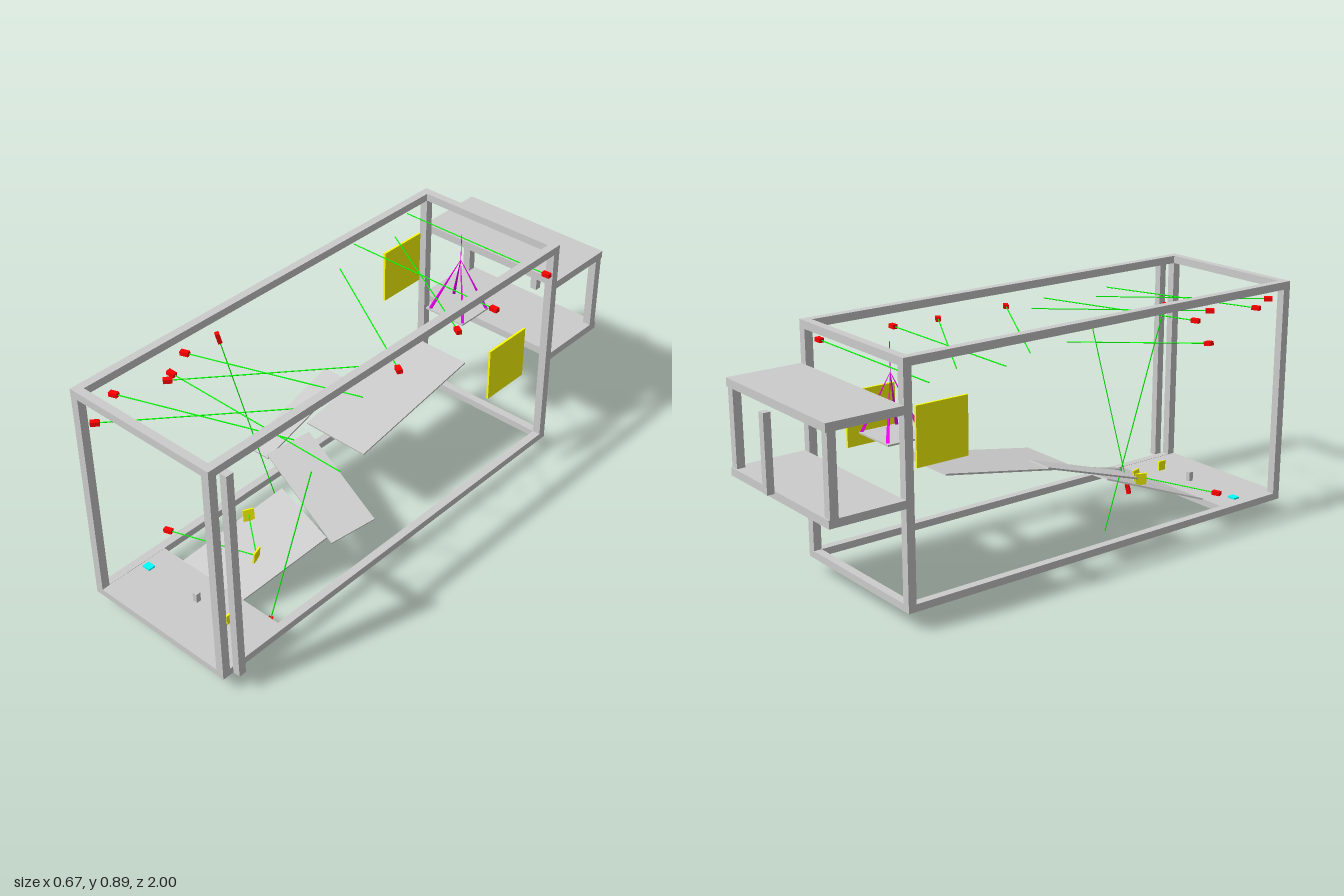
import * as THREE from 'three';

const mat = (color) => new THREE.MeshStandardMaterial({ color, flatShading: true });
const grey = mat(0xcccccc), red = mat(0xff0000), green = mat(0x00ff00);
const yellow = mat(0xffff00), magenta = mat(0xff00ff), cyan = mat(0x00ffff);
const V = (p) => new THREE.Vector3(...p);

export function createModel() {
  const model = new THREE.Group();

  const add = (name, geometry, material) => {
    const mesh = new THREE.Mesh(geometry, material);
    mesh.name = name;
    model.add(mesh);
    return mesh;
  };

  // Axis-aligned box given by its extents
  const box = (name, x0, x1, y0, y1, z0, z1, material = grey) => {
    const mesh = add(name, new THREE.BoxGeometry(x1 - x0, y1 - y0, z1 - z0), material);
    mesh.position.set((x0 + x1) / 2, (y0 + y1) / 2, (z0 + z1) / 2);
    return mesh;
  };

  // Tapered rod between two points
  const rod = (name, a, b, r0, r1, material, sides = 6) => {
    const p = V(a), q = V(b);
    const mesh = add(name, new THREE.CylinderGeometry(r1, r0, p.distanceTo(q), sides), material);
    mesh.position.copy(p).lerp(q, 0.5);
    mesh.quaternion.setFromUnitVectors(new THREE.Vector3(0, 1, 0), q.sub(p).normalize());
  };

  // Thin sloping plate from one corner and its two neighbours
  const plate = (name, corner, cornerU, cornerV, t = 0.006) => {
    const o = V(corner), u = V(cornerU).sub(o), v = V(cornerV).sub(o);
    const mesh = add(name, new THREE.BoxGeometry(u.length(), t, v.length()), grey);
    mesh.position.copy(o).addScaledVector(u, 0.5).addScaledVector(v, 0.5);
    const x = u.clone().normalize();
    const y = v.clone().cross(u).normalize();
    const z = x.clone().cross(y);
    mesh.quaternion.setFromRotationMatrix(new THREE.Matrix4().makeBasis(x, y, z));
  };

  // Main frame
  const L = -0.31, R = 0.29, w = 0.03, back = -0.68, front = 0.985;
  for (const x of [L, R - w]) {
    box('topRail', x, x + w, 0.862, 0.89, back, front);
    box('bottomRail', x, x + w, 0.06, 0.086, back, front);
    for (const z of [back, front - w]) box('cornerPost', x, x + w, 0.06, 0.89, z, z + w);
    box('rearBayPost', x, x + w, 0.415, 0.74, -0.95, -0.92);
  }
  for (const z of [back, front - w]) box('topCrossRail', L, R, 0.862, 0.89, z, z + w);
  box('bottomCrossRail', L, R, 0.06, 0.086, back, back + w);

  // Floor and the two shelves of the rear bay
  box('frontFloor', L, R, 0.06, 0.085, 0.71, front);
  box('rearBayTop', L, R, 0.713, 0.742, -0.955, back);
  box('rearBayFloor', L, R, 0.412, 0.44, -0.955, back);

  // Loose posts outside the frame
  box('sidePost', 0.303, 0.33, 0.077, 0.876, 0.925, 0.953);
  box('rearPost', -0.025, 0.002, 0.445, 0.71, -1.0, -0.974);

  // Ramps
  plate('upperRamp', [-0.173, 0.43, -0.435], [0.092, 0.43, -0.435], [-0.173, 0.333, 0.11]);
  plate('sideRamp', [-0.279, 0.408, -0.098], [-0.182, 0.408, -0.098], [-0.279, 0.283, 0.3]);
  plate('middleRamp', [-0.143, 0.322, 0.132], [0.238, 0.195, 0.217], [-0.19, 0.295, 0.296]);
  plate('lowerRamp', [-0.07, 0.216, 0.333], [0.188, 0.177, 0.386], [-0.208, 0.081, 0.722]);

  // Side panels
  box('leftPanel', 0.271, 0.279, 0.42, 0.617, -0.525, -0.33, yellow);
  box('rightPanel', -0.299, -0.291, 0.53, 0.73, -0.63, -0.435, yellow);

  // Hanging tray with four tapered straps and a cord
  const apex = [-0.033, 0.76, -0.545];
  box('tray', -0.125, 0.045, 0.55, 0.556, -0.62, -0.47);
  rod('trayCord', apex, [-0.033, 0.862, -0.545], 0.0012, 0.0012, magenta);
  for (const x of [-0.11, 0.04])
    for (const z of [-0.612, -0.478]) rod('trayStrap', [x, 0.555, z], apex, 0.007, 0.001, magenta, 4);

  // Light beams, each leaving an emitter at its first point
  const h = 0.807;
  const beams = [
    [[0.295, h, -0.605], [-0.335, h, -0.605]],
    [[0.295, h, -0.315], [-0.335, h, -0.315]],
    [[0.285, h, -0.135], [-0.26, h, -0.45]],
    [[0.285, h, 0.16], [-0.26, h, -0.16]],
    [[-0.283, h, 0.547], [0.3, h, 0.345]],
    [[-0.283, h, 0.845], [0.29, h, 0.64]],
    [[-0.213, h, 0.685], [0.2, h, 0.21]],
    [[-0.213, h, 0.98], [0.2, h, 0.51]],
    [[-0.318, 0.728, 0.58], [0.33, 0.612, 0.483]],
    [[-0.216, 0.852, 0.46], [-0.115, 0.037, 0.297]],
    [[0.19, 0.022, 0.68], [0.305, 0.66, 0.585]],
    [[-0.285, 0.144, 0.682], [0.028, 0.144, 0.573]],
  ];
  for (const [a, b] of beams) {
    rod('beam', a, b, 0.002, 0.002, green);
    const upright = Math.abs(b[1] - a[1]) > 0.3;
    const emitter = add('emitter', new THREE.BoxGeometry(0.018, 0.015, upright ? 0.038 : 0.03), red);
    emitter.position.set(...a);
    emitter.lookAt(V(b));
  }

  // Small mirrors and the beam passing between them
  const mirrors = [[0.028, 0.146, 0.573], [-0.1, 0.19, 0.48]];
  rod('mirrorBeam', ...mirrors, 0.002, 0.002, green);
  mirrors.forEach((p, i) => {
    const mirror = add('mirror', new THREE.BoxGeometry(0.006, 0.045, 0.04), yellow);
    mirror.position.set(...p);
    mirror.rotation.set(0, i ? -0.45 : 0.3, i ? 0.12 : -0.12);
  });

  // Items on the front floor
  box('standingMirror', 0.138, 0.145, 0.085, 0.122, 0.793, 0.825, yellow);
  box('smallBlock', -0.02, -0.002, 0.085, 0.12, 0.803, 0.821);
  box('pad', -0.265, -0.233, 0.085, 0.091, 0.795, 0.822, cyan);

  return model;
}
